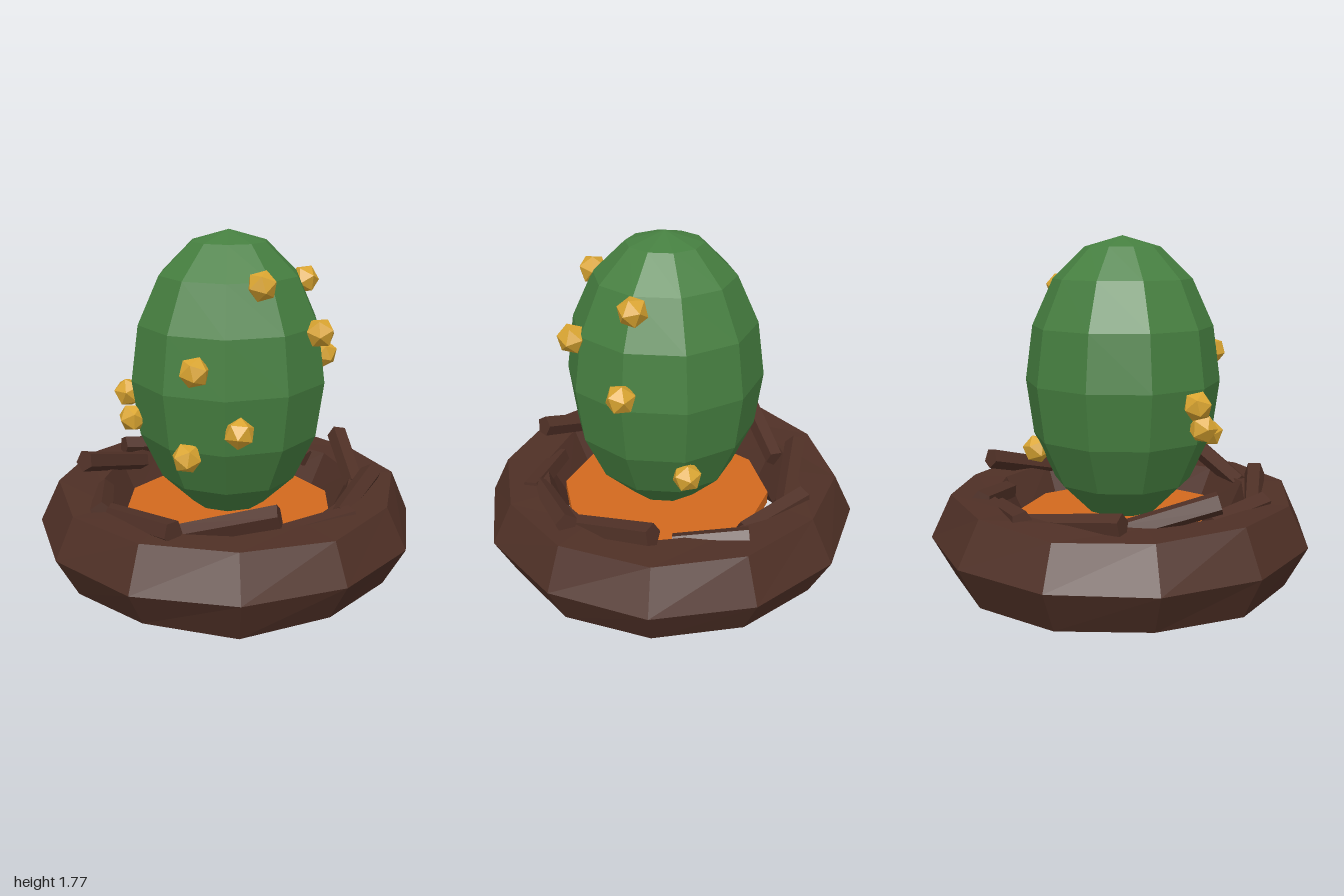
import * as THREE from 'three';

const paint = (name, color) => {
  const m = new THREE.MeshStandardMaterial({ color, flatShading: true });
  m.name = name;
  return m;
};

// Repeatable pseudo-random value in -1..1
const wobble = (n) => {
  const s = Math.sin(n * 12.9898 + 4.1) * 43758.5453;
  return (s - Math.floor(s)) * 2 - 1;
};

export function createModel() {
  const model = new THREE.Group();
  model.name = 'eggInNest';
  const green = paint('shell green', 0x467f40);
  const brown = paint('wood brown', 0x4f3026);
  const orange = paint('glowing orange', 0xd2691e);
  const gold = paint('gold', 0xdaa531);

  const add = (name, geometry, material, parent = model) => {
    const mesh = new THREE.Mesh(geometry, material);
    mesh.name = name;
    parent.add(mesh);
    return mesh;
  };

  // Nest: six-sided ring with twelve segments, slightly uneven
  const sides = 6, segments = 12;
  const ring = new THREE.TorusGeometry(0.785, 0.215, sides, segments);
  ring.rotateX(Math.PI / 2);
  const p = ring.attributes.position;
  for (let k = 0; k < p.count; k++) {
    const j = Math.floor(k / (segments + 1)) % sides;
    const i = (k % (segments + 1)) % segments;
    const seed = j * segments + i;
    const grow = j === 0 ? 1 : 1 + 0.016 * wobble(seed);
    const lift = j === 0 ? 0.005 : 0.012;
    const y = p.getY(k) * 1.14 + 0.247 + lift * wobble(seed + 200);
    p.setXYZ(k, p.getX(k) * grow, Math.max(0, y), p.getZ(k) * grow);
  }
  ring.computeVertexNormals();
  add('nestRing', ring, brown);

  // Loose sticks lying on the ring: [low end, raised end]
  const sticks = new THREE.Group();
  sticks.name = 'sticks';
  model.add(sticks);
  const ends = [
    [[0.25, 0.42, -0.63], [-0.26, 0.49, -0.69]],
    [[-0.2, 0.42, -0.58], [-0.64, 0.56, -0.41]],
    [[-0.57, 0.42, -0.32], [-0.76, 0.45, 0.03]],
    [[-0.71, 0.43, 0], [-0.62, 0.49, 0.49]],
    [[-0.56, 0.43, 0.41], [-0.2, 0.56, 0.74]],
    [[-0.15, 0.40, 0.64], [0.27, 0.43, 0.71]],
    [[0.22, 0.43, 0.67], [0.64, 0.49, 0.44]],
    [[0.55, 0.43, 0.42], [0.78, 0.56, 0]],
    [[0.63, 0.41, -0.08], [0.6, 0.45, -0.45]],
    [[0.51, 0.42, -0.42], [0.23, 0.46, -0.72]],
  ];
  const up = new THREE.Vector3(0, 1, 0);
  ends.forEach(([a, b], i) => {
    const from = new THREE.Vector3(...a), to = new THREE.Vector3(...b);
    const axis = to.clone().sub(from);
    const stick = add('stick', new THREE.CylinderGeometry(0.058, 0.052, axis.length(), 5), brown, sticks);
    stick.position.copy(from).lerp(to, 0.5);
    stick.quaternion.setFromUnitVectors(up, axis.normalize());
    stick.rotateY(i * 1.3);
  });

  // Bed under the egg
  add('bed', new THREE.CylinderGeometry(0.563, 0.563, 0.07, 10), orange).position.set(0, 0.29, 0.02);

  // Egg: ten-sided faceted ellipsoid
  const egg = add('egg', new THREE.SphereGeometry(1, 10, 8, Math.PI / 2), green);
  egg.scale.set(0.51, 0.745, 0.51);
  egg.position.set(0, 1.045, 0.023);

  // Gold nuggets set into the shell
  const nuggets = new THREE.Group();
  nuggets.name = 'nuggets';
  model.add(nuggets);
  const nugget = new THREE.IcosahedronGeometry(0.077, 0);
  [
    [-0.06, 1.56, 0.39], [0.4, 1.52, 0.13], [0.25, 1.31, 0.45], [0.5, 1.12, 0.18],
    [0.43, 0.67, -0.13], [-0.24, 0.89, 0.47], [-0.41, 0.74, 0.27], [-0.4, 1.18, 0.33],
    [-0.47, 0.97, -0.2], [-0.48, 0.85, -0.14],
  ].forEach((at, i) => {
    const mesh = add('nugget', nugget, gold, nuggets);
    mesh.position.set(...at);
    mesh.rotation.set(0.3 * wobble(i + 50), 0.5 * wobble(i + 70), 0.3 * wobble(i + 90));
  });

  return model;
}
